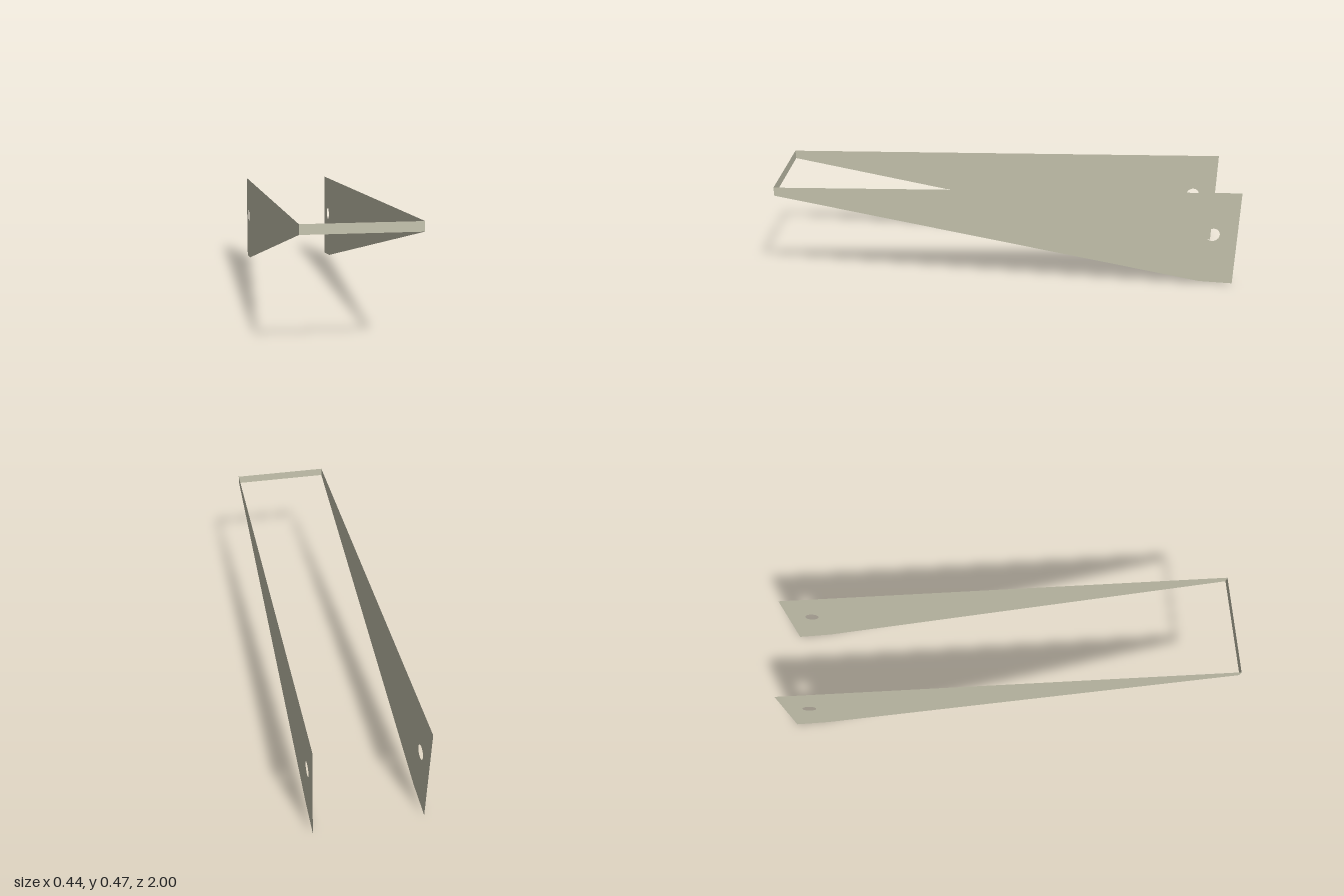
import * as THREE from 'three';

const HALF_WIDTH = 0.2225;
const FRONT_BOTTOM = 0.4375;
const FRONT_TOP = 0.475;

export function createModel() {
  const model = new THREE.Group();
  model.name = 'bracket';
  const material = new THREE.MeshStandardMaterial({ color: 0xc8c6b0, side: THREE.DoubleSide });

  // Tapered side plate drawn as (z, y), with a round pivot hole near the back
  const profile = new THREE.Shape([
    [1, FRONT_BOTTOM], [1, FRONT_TOP], [-1, 0.44], [-1, 0], [-0.85, 0.013],
  ].map(([z, y]) => new THREE.Vector2(z, y)));
  const hole = new THREE.Path();
  hole.absarc(-0.892, 0.243, 0.03, 0, Math.PI * 2, true);
  profile.holes.push(hole);
  const plate = new THREE.ShapeGeometry(profile, 16).rotateY(-Math.PI / 2);

  for (const [name, side] of [['leftArm', 1], ['rightArm', -1]]) {
    const arm = new THREE.Mesh(plate, material);
    arm.name = name;
    arm.position.x = side * HALF_WIDTH;
    model.add(arm);
  }

  // Narrow strip joining the arm tips at the front
  const strip = new THREE.Mesh(
    new THREE.PlaneGeometry(HALF_WIDTH * 2, FRONT_TOP - FRONT_BOTTOM), material);
  strip.name = 'frontStrip';
  strip.position.set(0, (FRONT_TOP + FRONT_BOTTOM) / 2, 1);
  model.add(strip);

  return model;
}
